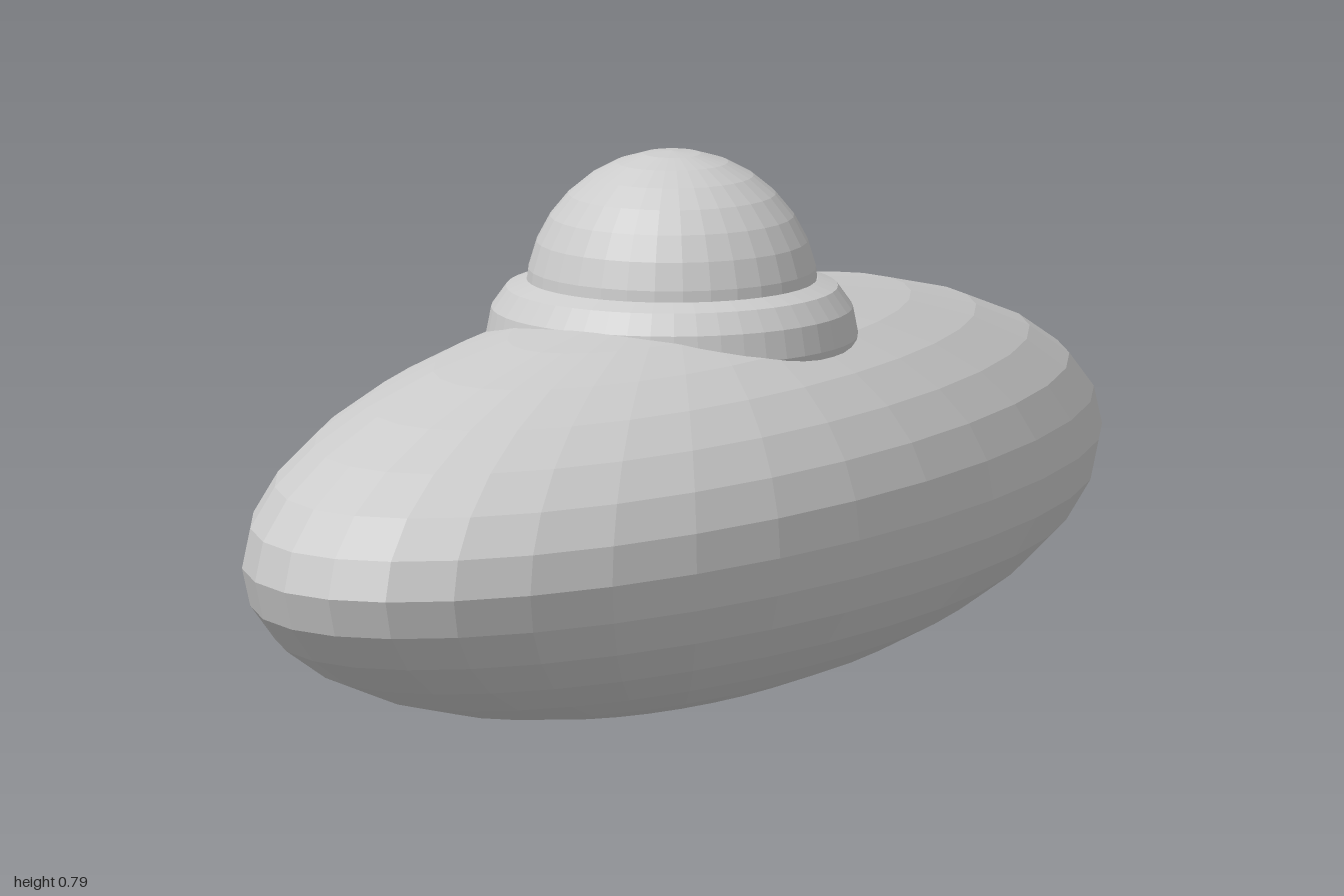
import * as THREE from 'three';

export function createModel() {
  const model = new THREE.Group();
  const material = new THREE.MeshStandardMaterial({ color: 0xcccccc, flatShading: true });

  const add = (name, geometry, y) => {
    const mesh = new THREE.Mesh(geometry, material);
    mesh.name = name;
    mesh.position.y = y;
    model.add(mesh);
  };

  // Long flattened hull, an ellipsoid stretched along z
  add('hull', new THREE.SphereGeometry(1, 32, 16).scale(0.425, 0.287, 1), 0.287);

  // Rounded collar seated in the hull, taller than it is wide
  const collar = new THREE.TorusGeometry(0.208, 0.058, 12, 48);
  collar.rotateX(-Math.PI / 2).scale(1, 1.4, 1);
  add('collar', collar, 0.521);

  // Cockpit dome, its lower half hidden inside the collar and hull
  add('dome', new THREE.SphereGeometry(0.21, 32, 16), 0.577);

  return model;
}
